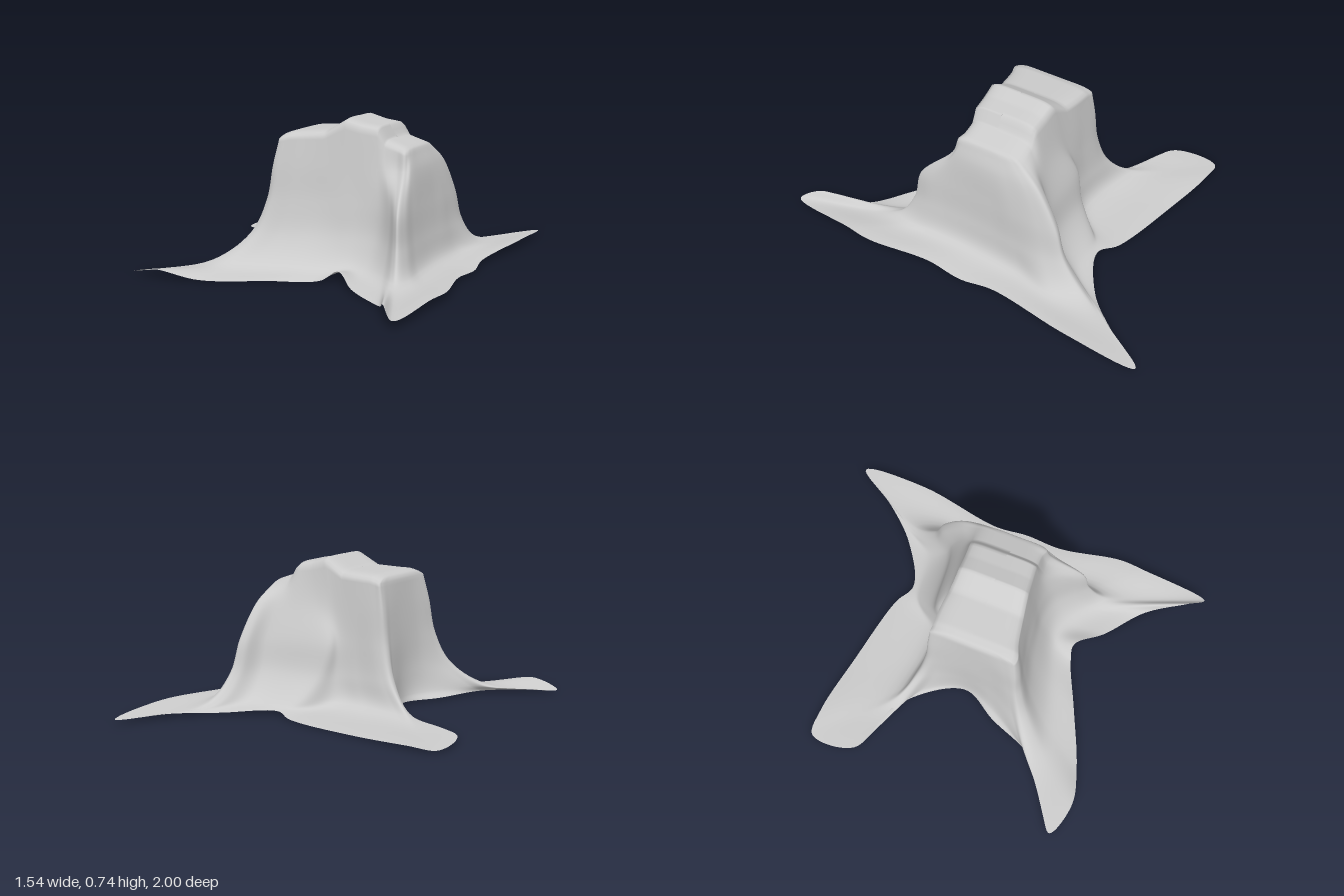
import * as THREE from 'three';

// Matching control points of four rings, listed front left tip -> front -> +x side -> back -> -x side
const hem = [ // x, y, z of the free edge
  [-.765, .008, .68], [-.6, .045, .735], [-.4, .006, .69], [-.1, .004, .56], [.12, .006, .46], [.2, .055, .445],
  [.33, .015, .57], [.53, .006, .73], [.635, .07, .92], [.705, .035, 1], [.745, .04, .65], [.755, .035, .5],
  [.7, .02, .18], [.71, .01, -.02], [.69, .02, -.2], [.755, .04, -.65], [.74, .02, -1], [.59, .02, -.78],
  [.43, .008, -.605], [.195, .02, -.475], [.08, .006, -.53], [-.3, .004, -.6], [-.62, .015, -.645], [-.755, .01, -.63],
  [-.735, .02, -.4], [-.45, .03, -.29], [-.235, .015, 0], [-.33, .01, .2], [-.44, .01, .45], [-.62, .012, .58],
];
const foot = [ // x, z where the walls turn into the brim
  [-.46, .47], [-.4, .5], [-.25, .46], [-.05, .4], [.14, .34], [.22, .335], [.31, .36], [.42, .43], [.49, .5], [.52, .51],
  [.55, .42], [.54, .27], [.535, .1], [.54, -.05], [.55, -.23], [.58, -.45], [.515, -.6], [.47, -.57], [.38, -.46], [.13, -.41],
  [0, -.28], [-.16, -.27], [-.36, -.3], [-.43, -.31], [-.42, -.27], [-.32, -.19], [-.23, 0], [-.28, .17], [-.4, .38], [-.46, .44],
];
const wall = [ // x, z halfway up, then how far the upper wall has already spread
  [-.25, .29, .5], [-.22, .305, .5], [-.12, .28, .5], [0, .25, .5], [.13, .235, .5], [.22, .225, .5], [.32, .24, .4], [.4, .3, .25],
  [.45, .36, .15], [.47, .375, .15], [.485, .33, .2], [.48, .2, .5], [.48, .07, .6], [.485, -.05, .6], [.495, -.18, .5], [.49, -.32, .5],
  [.465, -.4, .5], [.43, -.39, .5], [.37, -.31, .5], [.05, -.26, .4], [0, -.215, .5], [-.08, -.205, .5], [-.2, -.21, .5],
  [-.24, -.2, .5], [-.25, -.18, .5], [-.24, -.13, .5], [-.225, 0, .5], [-.23, .14, .5], [-.25, .24, .5], [-.255, .28, .5],
];
const shoulder = [ // x, z of the top edge
  [-.2, .25], [-.17, .255], [-.1, .23], [0, .21], [.12, .19], [.2, .18], [.28, .17], [.32, .165], [.38, .165], [.42, .175],
  [.43, .16], [.435, .12], [.435, .06], [.435, 0], [.435, -.08], [.43, -.14], [.42, -.175], [.4, -.175], [.32, -.17], [.2, -.165],
  [.1, -.165], [-.06, -.18], [-.17, -.18], [-.2, -.18], [-.205, -.16], [-.205, -.1], [-.205, 0], [-.205, .1], [-.205, .18], [-.205, .23],
];

// Height of the stepped top along x
const steps = [[-.2, .65], [-.15, .665], [.02, .675], [.12, .735], [.2, .712], [.28, .7], [.315, .64], [.42, .605]];
function topHeight(x) {
  if (x <= steps[0][0]) return steps[0][1];
  for (let i = 1; i < steps.length; i++) {
    const [x0, y0] = steps[i - 1], [x1, y1] = steps[i];
    if (x <= x1) return y0 + (y1 - y0) * (x - x0) / (x1 - x0);
  }
  return steps[steps.length - 1][1];
}

const ringCurve = (points) => new THREE.CatmullRomCurve3(points, true, 'centripetal');
// The third value of a point, where present, rides along as y
const level = (ring) => ringCurve(ring.map(([x, z, y = 0]) => new THREE.Vector3(x, y, z)));

function clothGeometry() {
  const around = 300, topRows = 10, sideRows = 35, edgeDrop = .022;
  const rows = topRows + sideRows;
  const shoulderRing = level(shoulder), wallRing = level(wall), footRing = level(foot);
  const hemRing = ringCurve(hem.map((p) => new THREE.Vector3(...p)));
  const positions = [], index = [];

  for (let j = 0; j < around; j++) {
    const u = j / around;
    const s = shoulderRing.getPoint(u), w = wallRing.getPoint(u);
    const f = footRing.getPoint(u).setY(.045), h = hemRing.getPoint(u);
    const spread = w.y;
    w.y = .33;
    s.y = topHeight(s.x) - edgeDrop;
    // Top: from a central spine out to the softened shoulder
    for (let i = 0; i < topRows; i++) {
      const t = i / topRows;
      const x = THREE.MathUtils.lerp(THREE.MathUtils.clamp(s.x, -.16, .39), s.x, t);
      positions.push(x, topHeight(x) - edgeDrop * t ** 6, THREE.MathUtils.lerp(.02, s.z, t));
    }
    // Side: shoulder, upper wall, flared foot, hem
    const upper = s.clone().lerp(w, spread).setY(.5);
    const lower = w.clone().lerp(f, .3).setY(.17);
    const drop = new THREE.CatmullRomCurve3([s, upper, w, lower, f, h], false, 'centripetal');
    for (let i = 0; i <= sideRows; i++) {
      const p = drop.getPoint(i / sideRows);
      positions.push(p.x, Math.max(p.y, 0), p.z);
    }
  }
  const stride = rows + 1;
  for (let j = 0; j < around; j++) {
    for (let i = 0; i < rows; i++) {
      const a = j * stride + i, b = ((j + 1) % around) * stride + i;
      index.push(a, a + 1, b + 1, a, b + 1, b);
    }
  }
  const geometry = new THREE.BufferGeometry();
  geometry.setAttribute('position', new THREE.Float32BufferAttribute(positions, 3));
  geometry.setIndex(index);
  geometry.computeVertexNormals();
  return geometry;
}

export function createModel() {
  const group = new THREE.Group();
  group.name = 'drapedCloth';
  const material = new THREE.MeshStandardMaterial({ color: 0xcccccc, side: THREE.DoubleSide });
  const cloth = new THREE.Mesh(clothGeometry(), material);
  cloth.name = 'cloth';
  group.add(cloth);
  return group;
}
